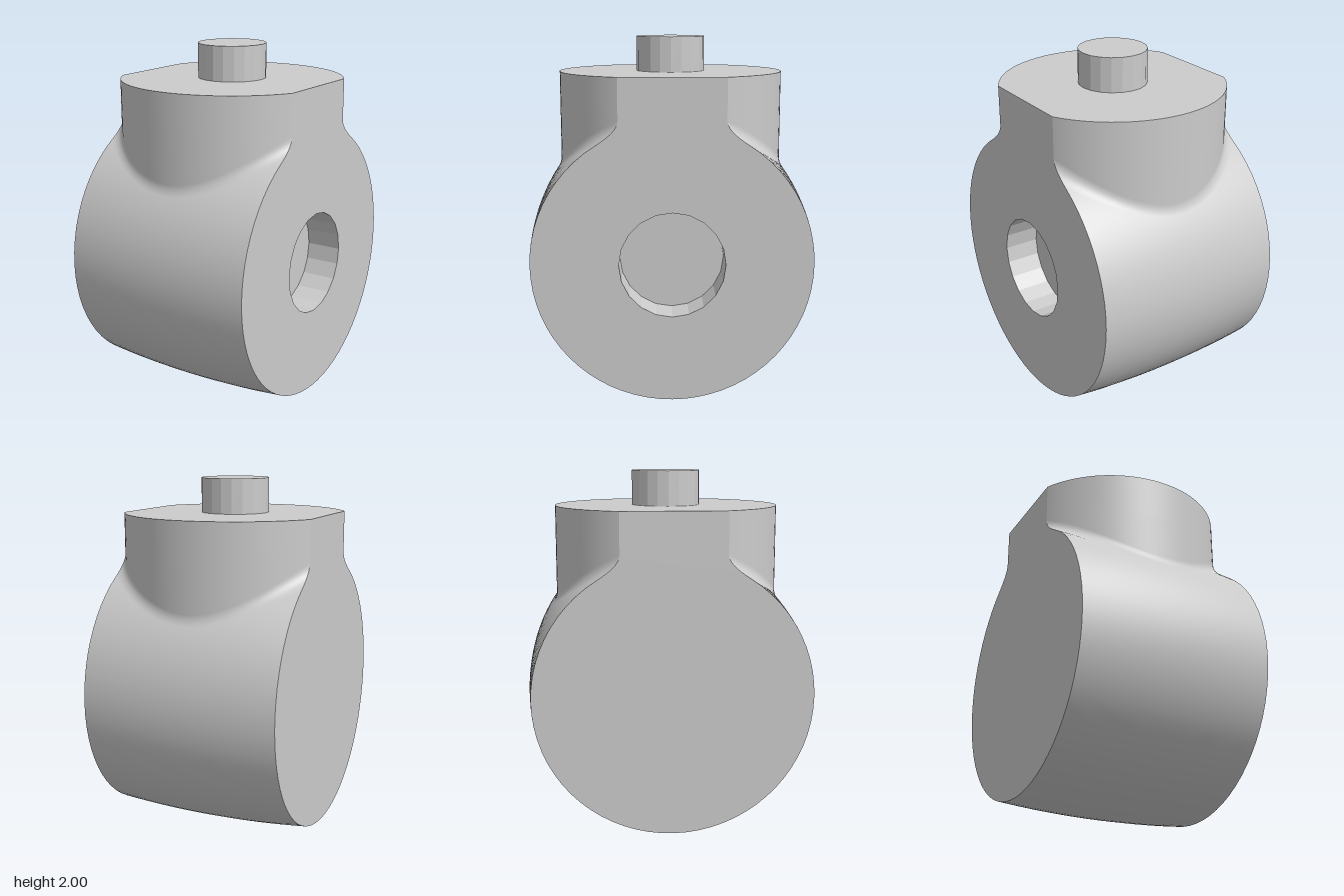
import * as THREE from 'three';
import { ParametricGeometry } from 'three/addons/geometries/ParametricGeometry.js';

const HALF = 0.5625;   // half width, where the flat sides cut the body
const BOSS_R = 0.632;  // radius of the upright boss
const TOP = 1.805;     // top of the boss
const AXIS_Y = 0.795;  // height of the barrel axis
const FILLET = 0.1;
const HOLE_R = 0.29, HOLE_DEPTH = 0.2, PIN_R = 0.193;

const grey = new THREE.MeshStandardMaterial({ color: 0xcccccc });
const greyFlat = new THREE.MeshStandardMaterial({ color: 0xcccccc, flatShading: true });
const greyInside = new THREE.MeshStandardMaterial({ color: 0xcccccc, flatShading: true, side: THREE.DoubleSide });

// Slightly crowned barrel radius
const barrelR = (x) => 0.795 - 0.026 * (x / HALF) ** 2;
const bossZ = (x) => Math.sqrt(BOSS_R * BOSS_R - x * x);

// Fillet of the cross-section at x: three control points (z, y) and the barrel angle where it ends
function fillet(x) {
  const r = barrelR(x), z0 = bossZ(x);
  const y0 = AXIS_Y + Math.sqrt(r * r - z0 * z0);
  const slope = Math.asin(z0 / r);
  const t = FILLET * Math.tan((Math.PI / 2 - slope) / 2);
  const z2 = Math.sqrt((BOSS_R + t * Math.cos(slope)) ** 2 - x * x);
  const angle = Math.asin(z2 / r);
  const y2 = AXIS_Y + r * Math.cos(angle);
  const y1 = Math.max(y0, y2 + (z2 - z0) * Math.tan(angle));
  return { p: [[z0, y0 + t], [z0, y1], [z2, y2]], angle };
}

function filletPoint(x, v) {
  const { p } = fillet(x);
  const w = [(1 - v) ** 2, 2 * v * (1 - v), v * v];
  return [0, 1].map((k) => w[0] * p[0][k] + w[1] * p[1][k] + w[2] * p[2][k]);
}

function barrelPoint(x, v) {
  const a = fillet(x).angle;
  const th = a + v * 2 * (Math.PI - a);
  return [barrelR(x) * Math.sin(th), AXIS_Y + barrelR(x) * Math.cos(th)];
}

// x across the body, spaced evenly round the boss
const PHI = Math.asin(HALF / BOSS_R);
const acrossX = (u) => BOSS_R * Math.sin((1 - 2 * u) * PHI);

// Surface swept across x from a cross-section rule
function sweep(rule, nu, nv) {
  return new ParametricGeometry((u, v, out) => {
    const x = acrossX(u);
    const [z, y] = rule(x, v);
    out.set(x, y, z);
  }, nu, nv);
}

// Closed outline of a flat side, with an optional round hole
function sideShape(withHole) {
  const half = [];
  for (let i = 0; i <= 8; i++) half.push(filletPoint(HALF, i / 8));
  const pts = [[bossZ(HALF), TOP], ...half];
  for (let i = 1; i < 56; i++) pts.push(barrelPoint(HALF, i / 56));
  for (const [z, y] of half.reverse()) pts.push([-z, y]);
  pts.push([-bossZ(HALF), TOP]);
  const shape = new THREE.Shape(pts.map(([z, y]) => new THREE.Vector2(z, y)));
  if (withHole) {
    const ring = [];
    for (let i = 0; i < 20; i++) {
      const a = (i / 20) * Math.PI * 2;
      ring.push(new THREE.Vector2(HOLE_R * Math.cos(a), AXIS_Y + HOLE_R * Math.sin(a)));
    }
    shape.holes.push(new THREE.Path(ring));
  }
  return shape;
}

export function createModel() {
  const model = new THREE.Group();
  const add = (name, geometry, material = grey) => {
    const mesh = new THREE.Mesh(geometry, material);
    mesh.name = name;
    model.add(mesh);
    return mesh;
  };

  // Crowned barrel lying along x
  add('barrel', sweep(barrelPoint, 32, 56));

  // Boss walls and their fillets, front and back
  for (const [side, turn] of [['front', 0], ['back', Math.PI]]) {
    const wall = sweep((x, v) => {
      const [z, y] = fillet(x).p[0];
      return [z, TOP + (y - TOP) * v];
    }, 32, 2);
    add(side + 'BossWall', wall).rotation.y = turn;
    add(side + 'Fillet', sweep(filletPoint, 32, 8)).rotation.y = turn;
  }

  // Flat top of the boss
  add('bossTop', new ParametricGeometry((u, v, out) => {
    const x = -acrossX(u);
    out.set(x, TOP, bossZ(x) * (1 - 2 * v));
  }, 32, 1));

  // Flat sides, the left one pierced
  for (const s of [1, -1]) {
    const face = add(s > 0 ? 'leftFace' : 'rightFace', new THREE.ShapeGeometry(sideShape(s > 0)));
    face.rotation.y = s * Math.PI / 2;
    face.position.x = s * HALF;
  }

  // Blind hole
  const bore = add('holeWall', new THREE.CylinderGeometry(HOLE_R, HOLE_R, HOLE_DEPTH, 20, 1, true), greyInside);
  bore.rotation.z = Math.PI / 2;
  bore.position.set(HALF - HOLE_DEPTH / 2, AXIS_Y, 0);
  const floor = add('holeFloor', new THREE.CircleGeometry(HOLE_R, 20));
  floor.rotation.y = Math.PI / 2;
  floor.position.set(HALF - HOLE_DEPTH, AXIS_Y, 0);

  // Pin on top
  add('pin', new THREE.CylinderGeometry(PIN_R, PIN_R, 2 - TOP, 20), greyFlat).position.y = (2 + TOP) / 2;

  return model;
}
